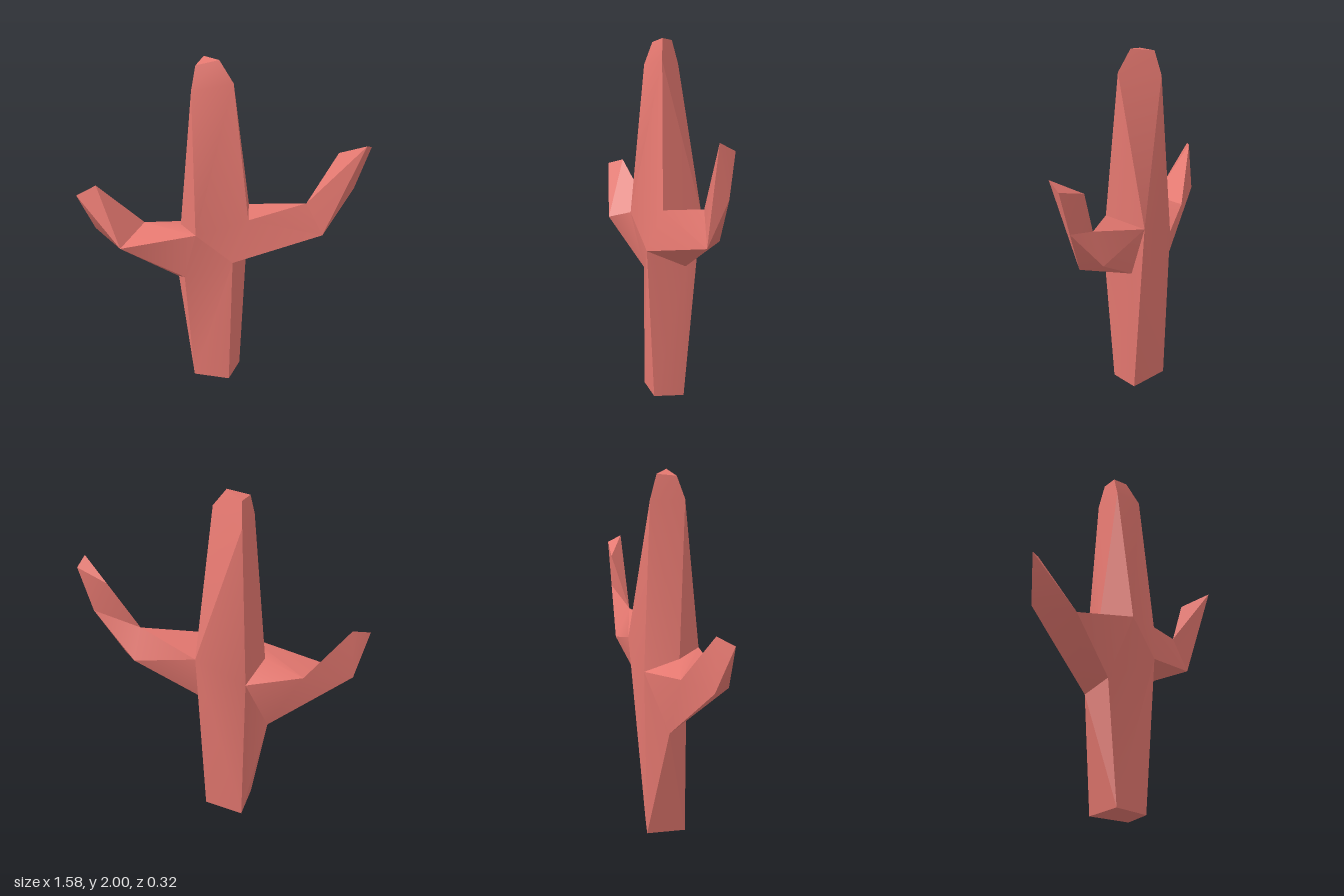
import * as THREE from 'three';
import { toCreasedNormals } from 'three/addons/utils/BufferGeometryUtils.js';

// Corner points, grouped by the loop they belong to
const P = {
  // foot of the trunk
  A: [-0.155, 0, 0.07], B: [0.05, 0, 0.1], C: [0.105, 0, -0.058], D: [-0.113, 0, -0.143],
  // below the arms
  G: [-0.205, 0.69, 0.05], H: [-0.25, 0.61, -0.07], E: [0.07, 0.865, 0.15], F: [0.13, 0.77, -0.055],
  // above the arms
  I: [-0.13, 1.04, 0.16], J: [0.15, 1.105, 0.09], K: [0.145, 1.07, -0.14],
  L: [-0.13, 0.935, -0.165], M: [-0.225, 1.01, 0],
  // rounded trunk top
  T4: [-0.15, 1.85, 0.065], T3: [0.065, 1.89, 0.055], O: [-0.1, 1.85, -0.115],
  T1: [-0.13, 1.97, 0.025], T2: [-0.01, 2, 0.02], N: [-0.095, 1.98, -0.075],
  // short arm: elbow and tip
  Q1: [-0.55, 0.915, 0.125], Q2: [-0.44, 0.955, -0.095], Q3: [-0.71, 0.94, -0.04],
  R1: [-0.79, 1.19, 0.03], R2: [-0.69, 1.225, -0.025],
  // long arm: elbow, forearm and tip
  V1: [0.46, 1.17, 0], V3: [0.555, 0.987, 0.03], Y: [0.49, 1, -0.075], X: [0.71, 1.27, -0.01],
  W1: [0.755, 1.565, 0.07], W2: [0.785, 1.525, 0], W3: [0.62, 1.46, -0.045],
};

export function createModel() {
  const positions = [];
  const ranges = [];

  const tri = (a, b, c) => {
    if (a !== b && b !== c && a !== c) positions.push(...P[a], ...P[b], ...P[c]);
  };
  // Flat or bent polygon, fanned from its first corner
  const fan = (names) => {
    const n = names.split(' ');
    for (let i = 1; i < n.length - 1; i++) tri(n[0], n[i], n[i + 1]);
  };
  // Skin between two closed loops; a repeated corner makes a triangle there
  const bridge = (from, to) => {
    const a = from.split(' '), b = to.split(' ');
    a.forEach((_, i) => {
      const j = (i + 1) % a.length;
      tri(a[i], a[j], b[j]);
      tri(a[i], b[j], b[i]);
    });
  };
  const part = (name, build) => {
    const start = positions.length;
    build();
    ranges.push({ name, start, end: positions.length });
  };

  part('trunk', () => {
    fan('D C B A');
    bridge('A A B C D D', 'H G E F K L');
    fan('E J I G');
    bridge('I J K K L M', 'T4 T3 T3 O O O');
    bridge('T4 T3 O', 'T1 T2 N');
    fan('T1 T2 N');
  });

  part('rightArm', () => {
    bridge('G I I M L H H', 'Q1 Q1 Q2 Q2 Q2 Q2 Q3');
    bridge('Q1 Q2 Q3', 'R1 R2 R2');
  });

  part('leftArm', () => {
    bridge('E F F K K J', 'V3 V3 Y Y V1 V1');
    bridge('V3 V3 Y V1 V1', 'W1 X X X W3');
    bridge('W1 X W3', 'W2 W2 W2');
  });

  // Normals are worked out on the whole skin so the joints shade seamlessly
  const whole = new THREE.BufferGeometry();
  whole.setAttribute('position', new THREE.Float32BufferAttribute(positions, 3));
  const skin = toCreasedNormals(whole, 0.52);

  const material = new THREE.MeshStandardMaterial({ color: 0xe57870 });
  const group = new THREE.Group();
  group.name = 'cactus';
  for (const { name, start, end } of ranges) {
    const geometry = new THREE.BufferGeometry();
    for (const key of ['position', 'normal']) {
      const values = skin.attributes[key].array.slice(start, end);
      geometry.setAttribute(key, new THREE.BufferAttribute(values, 3));
    }
    const mesh = new THREE.Mesh(geometry, material);
    mesh.name = name;
    group.add(mesh);
  }
  return group;
}
